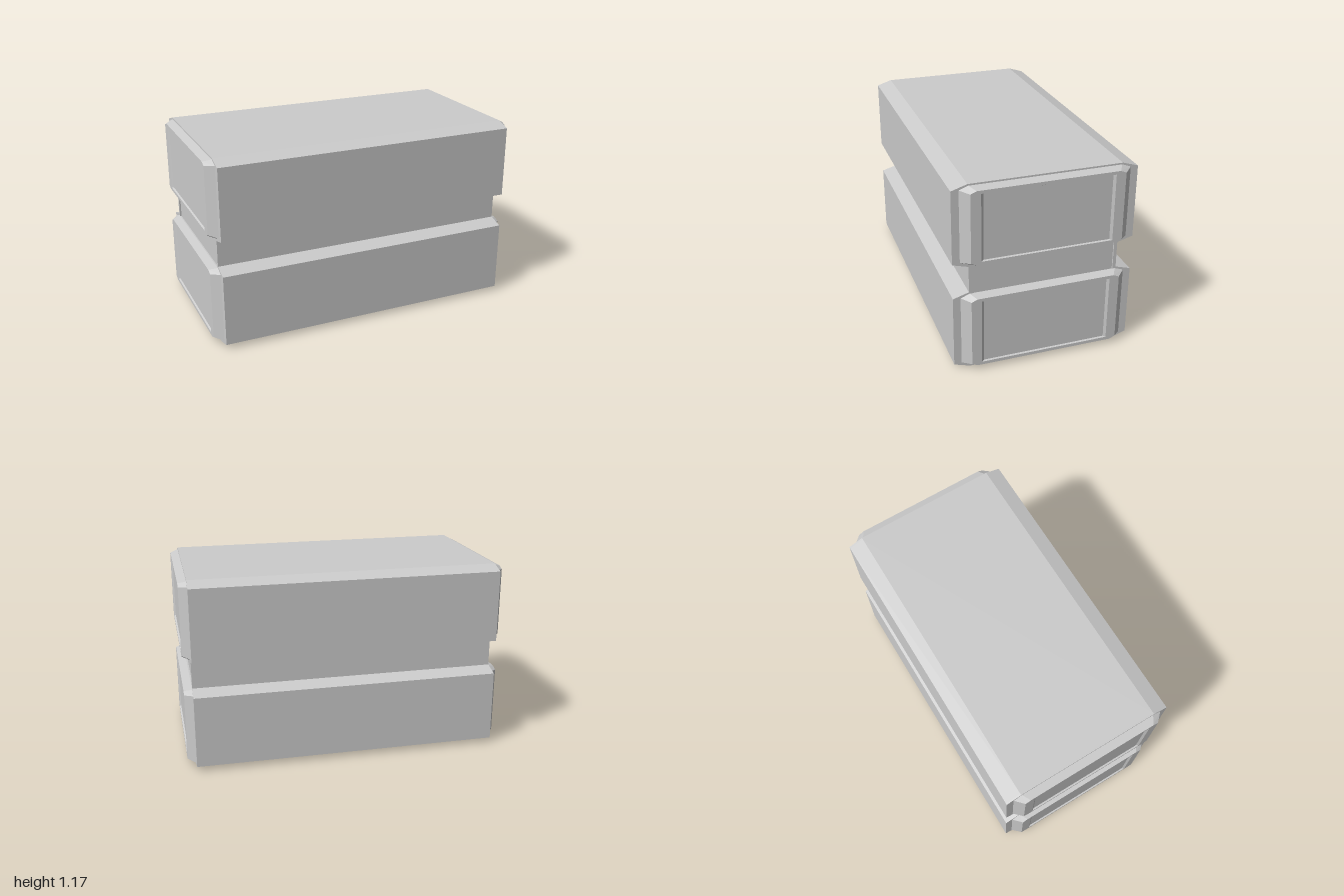
import * as THREE from 'three';

const END = 0.95;      // half length of the body
const RECESS = 0.01;   // depth of the end recesses
const TIER = 0.67;     // height step between the two tiers

// Extrude a shape drawn in (z, y) along x, from x0 to x1
function extrudeX(shape, x0, x1) {
  const g = new THREE.ExtrudeGeometry(shape, { depth: x1 - x0, bevelEnabled: false });
  return g.translate(0, 0, x0).rotateY(Math.PI / 2);
}

// Waisted cross-section with two chamfered tiers
function bodyShape() {
  const half = [[0.455, 0], [0.55, 0.03], [0.55, 0.477], [0.455, 0.505],
    [0.455, 0.67], [0.55, 0.697], [0.55, 1.145], [0.455, 1.175]];
  const mirrored = half.map(([z, y]) => [-z, y]).reverse();
  return new THREE.Shape([...half, ...mirrored].map(([z, y]) => new THREE.Vector2(z, y)));
}

// Rectangle outline with its corners cut by (cz, cy), at depth d
function cutRect({ z, y, cz = 0, cy = 0, d }) {
  return [[z, -y + cy], [z, y - cy], [z - cz, y], [-z + cz, y],
    [-z, y - cy], [-z, -y + cy], [-z + cz, -y], [z - cz, -y]]
    .map(([u, v]) => new THREE.Vector3(u, v, d));
}

// Faceted skin through successive rings, closed by a flat floor
function loft(rings) {
  const pos = [];
  const tri = (a, b, c) => {
    if (a.equals(b) || b.equals(c) || c.equals(a)) return;
    for (const p of [a, b, c]) pos.push(p.x, p.y, p.z);
  };
  for (let r = 0; r < rings.length - 1; r++) {
    const a = rings[r], b = rings[r + 1];
    for (let i = 0; i < a.length; i++) {
      const j = (i + 1) % a.length;
      tri(a[i], a[j], b[j]);
      tri(a[i], b[j], b[i]);
    }
  }
  const last = rings[rings.length - 1];
  for (let i = 1; i < last.length - 1; i++) tri(last[0], last[i], last[i + 1]);
  const g = new THREE.BufferGeometry();
  g.setAttribute('position', new THREE.Float32BufferAttribute(pos, 3));
  g.computeVertexNormals();
  return g.rotateY(Math.PI / 2);
}

export function createModel() {
  const model = new THREE.Group();
  model.name = 'twoTierCase';
  const material = new THREE.MeshStandardMaterial({ color: 0xcccccc, flatShading: true });
  const add = (parent, name, geometry) => {
    const mesh = new THREE.Mesh(geometry, material);
    mesh.name = name;
    parent.add(mesh);
    return mesh;
  };

  // Main body
  add(model, 'body', extrudeX(bodyShape(), -END + RECESS, END - RECESS));

  // End rim, open at the waist to leave a shallow recess
  const rimShape = bodyShape();
  rimShape.holes.push(new THREE.Path([[-0.435, 0.49], [-0.435, 0.69], [0.435, 0.69], [0.435, 0.49]]
    .map(([z, y]) => new THREE.Vector2(z, y))));
  const rim = extrudeX(rimShape, END - RECESS, END);

  // Bevelled end cap with an inset panel
  const cap = loft([
    { z: 0.505, y: 0.24, cz: 0.055, cy: 0.02, d: END },
    { z: 0.455, y: 0.225, cz: 0.035, cy: 0.015, d: 1 },
    { z: 0.395, y: 0.206, d: 1 },
    { z: 0.38, y: 0.201, d: 1 - RECESS },
  ].map(cutRect));

  for (const side of ['left', 'right']) {
    const end = new THREE.Group();
    end.name = side + 'End';
    add(end, side + 'EndRim', rim);
    ['lower', 'upper'].forEach((tier, i) => {
      add(end, `${tier}EndCap`, cap).position.y = 0.255 + i * TIER;
    });
    if (side === 'right') end.rotation.y = Math.PI;
    model.add(end);
  }
  return model;
}
